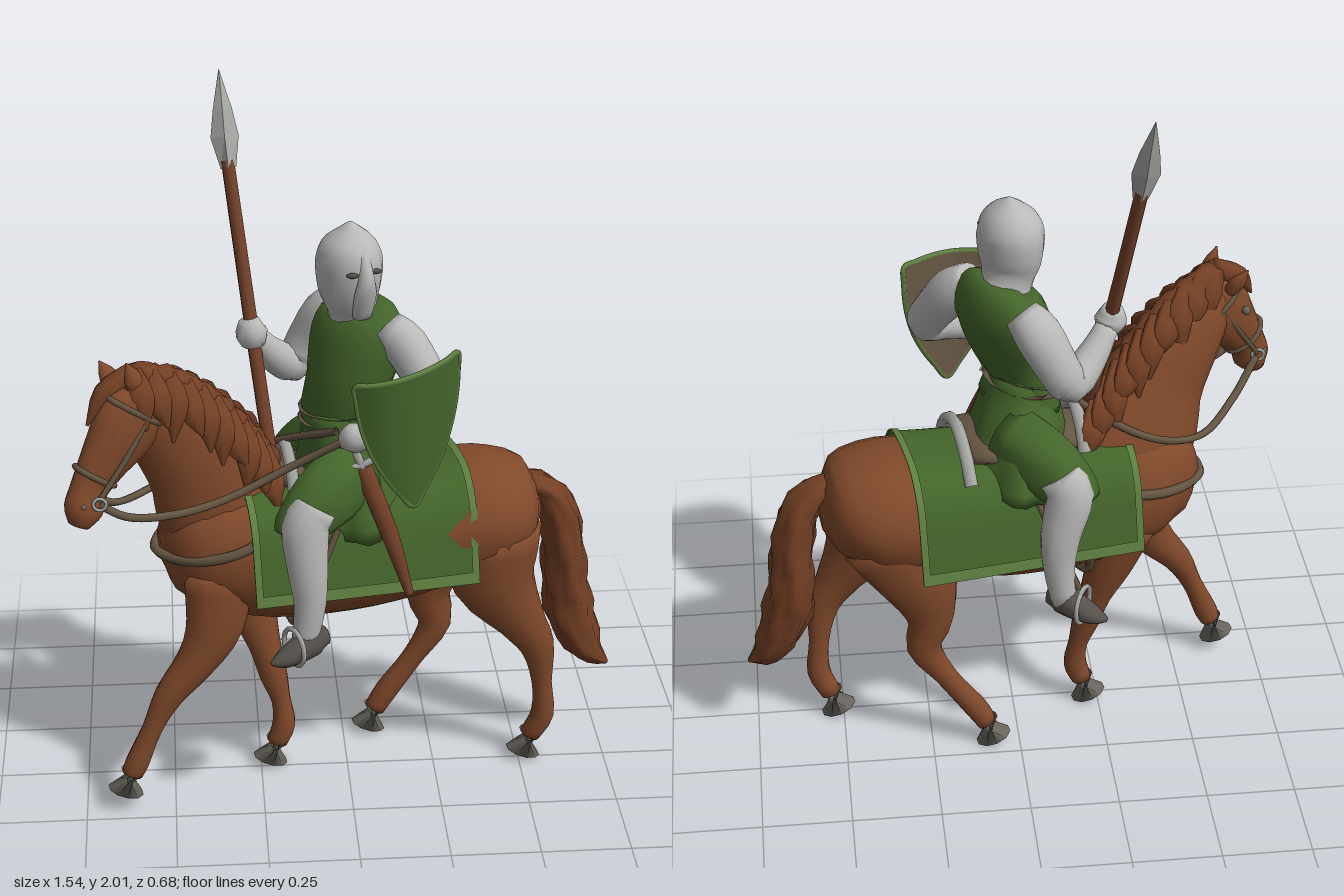
import * as THREE from 'three';

const paint = (name, color, extra = {}) => Object.assign(new THREE.MeshStandardMaterial({ color, ...extra }), { name });
const two = { side: THREE.DoubleSide };
const V = (a) => new THREE.Vector3(...a);

export function createModel() {
  const model = new THREE.Group();
  model.name = 'mountedSpearman';
  const coat = paint('chestnut coat', 0x80492b), hair = paint('mane brown', 0x744025);
  const hoofGrey = paint('hoof grey', 0x6a665f), green = paint('tunic green', 0x44652b, two);
  const trim = paint('pale green trim', 0x5f7f41, two), mail = paint('mail grey', 0xb9b9b8);
  const steel = paint('steel', 0xa6a8a4), wood = paint('wood', 0x74412a);
  const leather = paint('worn leather', 0x665643, two), shoeGrey = paint('shoe grey', 0x55504b);
  const bodySide = [0.17, 0, 0.985];

  const add = (name, geo, mat, parent = model) => {
    const m = new THREE.Mesh(geo, mat);
    m.name = name;
    parent.add(m);
    return m;
  };

  // Skin over elliptical sections [x, y, z, halfDepth, halfWidth]; halfWidth lies along "side"
  function loft(name, mat, secs, { side = bodySide, n = 14, sub = 3, wave = null, flat = false } = {}) {
    const centre = new THREE.CatmullRomCurve3(secs.map((s) => V(s.slice(0, 3))), false, 'catmullrom', 0.5);
    const radii = new THREE.CatmullRomCurve3(secs.map((s) => V([s[3], s[4] ?? s[3], 0])), false, 'catmullrom', 0.5);
    const rows = (secs.length - 1) * sub, pos = [], idx = [];
    for (let i = 0; i <= rows; i++) {
      const c = centre.getPoint(i / rows), r = radii.getPoint(i / rows), t = centre.getTangent(i / rows);
      const n1 = V(side).addScaledVector(t, -V(side).dot(t)).normalize();
      const n2 = new THREE.Vector3().crossVectors(t, n1);
      for (let j = 0; j < n; j++) {
        const a = (j / n) * Math.PI * 2, k = wave ? wave(i / rows, a) : 1;
        const p = c.clone().addScaledVector(n1, Math.cos(a) * r.y * k).addScaledVector(n2, Math.sin(a) * r.x * k);
        pos.push(p.x, p.y, p.z);
        if (i < rows) {
          const q = i * n + j, w = i * n + (j + 1) % n;
          idx.push(q, w, w + n, q, w + n, q + n);
        }
      }
    }
    const base = (rows + 1) * n;
    pos.push(...centre.getPoint(0).toArray(), ...centre.getPoint(1).toArray());
    for (let j = 0; j < n; j++) {
      const k = (j + 1) % n;
      idx.push(base, k, j, base + 1, rows * n + j, rows * n + k);
    }
    let g = new THREE.BufferGeometry();
    g.setAttribute('position', new THREE.Float32BufferAttribute(pos, 3));
    g.setIndex(idx);
    if (flat) g = g.toNonIndexed();
    g.computeVertexNormals();
    return add(name, g, mat);
  }

  // Open surface from a rule (u, v) -> point
  function sheet(name, mat, fn, nu, nv) {
    const g = new THREE.PlaneGeometry(1, 1, nu, nv), p = g.attributes.position, uv = g.attributes.uv;
    for (let i = 0; i < p.count; i++) p.setXYZ(i, ...fn(uv.getX(i), uv.getY(i)));
    g.computeVertexNormals();
    return add(name, g, mat);
  }
  const cord = (name, mat, pts, r = 0.009, closed = false) =>
    add(name, new THREE.TubeGeometry(new THREE.CatmullRomCurve3(pts.map(V), closed), pts.length * 6, r, 6, closed), mat);

  // Horse body, neck and head
  loft('horseBody', coat, [[-.525, .76, .05, .04, .04], [-.48, .76, .045, .14, .11], [-.38, .755, .035, .19, .165],
    [-.2, .72, 0, .212, .185], [0, .705, -.03, .195, .2], [.15, .715, -.05, .18, .2], [.3, .76, -.075, .185, .21],
    [.42, .775, -.085, .165, .203], [.5, .765, -.095, .125, .15], [.545, .76, -.1, .04, .05]], { n: 22 });
  loft('horseNeck', coat, [[-.28, .77, .01, .2, .13], [-.35, .88, .03, .19, .115], [-.41, 1.02, .07, .155, .09],
    [-.49, 1.14, .11, .125, .075], [-.55, 1.21, .15, .1, .062], [-.59, 1.24, .17, .06, .045]], { side: [.3, 0, .95], n: 16 });
  loft('horseHead', coat, [[-.545, 1.285, .155, .04, .035], [-.57, 1.235, .175, .092, .062], [-.61, 1.165, .2, .098, .064],
    [-.66, 1.095, .23, .074, .052], [-.7, 1.03, .255, .056, .042], [-.718, .975, .272, .056, .046],
    [-.732, .935, .28, .03, .032]], { side: [.5, 0, .86] });
  for (const [base, tip] of [[[-.56, 1.27, .2], [-.592, 1.365, .212]], [[-.62, 1.26, .14], [-.665, 1.335, .12]]]) {
    const mid = base.map((b, i) => (b + tip[i]) / 2);
    loft('horseEar', coat, [[...base, .018, .018], [...mid, .026, .017], [...tip, .002, .002]], { side: [.5, 0, .86], n: 8 });
  }
  for (const s of [-1, 1]) {
    const eye = add('horseEye', new THREE.SphereGeometry(0.013, 8, 6), hoofGrey);
    eye.position.set(-.645 + s * .029, 1.185, .207 + s * .049);
    const nostril = add('nostril', new THREE.SphereGeometry(0.009, 8, 6), hoofGrey);
    nostril.position.set(-.733 + s * .018, 1.0, .278 + s * .031);
  }

  // Horse legs, each with its hoof
  const legs = {
    leftForeleg: [[-.36, .7, .13, .1, .06], [-.375, .55, .14, .085, .055], [-.43, .44, .15, .06, .046], [-.51, .34, .165, .042, .037],
      [-.56, .24, .175, .029, .027], [-.603, .14, .18, .034, .031], [-.62, .1, .18, .03, .03]],
    rightForeleg: [[-.31, .66, -.08, .1, .06], [-.27, .5, -.06, .072, .05], [-.235, .38, -.04, .047, .042], [-.21, .28, -.03, .04, .036],
      [-.19, .2, -.025, .028, .027], [-.183, .125, -.02, .034, .031], [-.203, .065, -.02, .03, .03]],
    leftHindLeg: [[.4, .74, .02, .15, .1], [.415, .6, .02, .122, .085], [.495, .46, .02, .07, .052], [.545, .37, .015, .05, .037],
      [.562, .25, .005, .03, .028], [.568, .14, 0, .034, .032], [.535, .065, -.01, .03, .03]],
    rightHindLeg: [[.36, .74, -.18, .14, .09], [.285, .6, -.19, .115, .08], [.25, .46, -.19, .07, .052], [.27, .35, -.19, .05, .037],
      [.21, .24, -.19, .032, .028], [.13, .125, -.19, .034, .032], [.095, .065, -.19, .03, .03]],
  };
  for (const [name, secs] of Object.entries(legs)) {
    loft(name, coat, secs, { n: 12 });
    const [x, y, z] = secs[6];
    loft(name + 'Hoof', hoofGrey, [[x, y + .008, z, .033, .034], [x - .02, y - .055, z, .052, .044]], { n: 10, sub: 1 });
  }

  // Tail with wavy strands
  loft('tail', hair, [[.48, .83, -.09, .035, .04], [.545, .835, -.09, .035, .05], [.6, .77, -.095, .05, .065], [.625, .65, -.1, .058, .075],
    [.635, .52, -.105, .062, .075], [.66, .4, -.1, .064, .062], [.71, .3, -.09, .042, .045], [.765, .255, -.08, .006, .008]],
  { n: 20, wave: (t, a) => 1 + .13 * Math.sin(a * 6 + t * 14) + .06 * Math.sin(t * 45 + a * 2) });

  // Mane: a crest with overlapping locks on each side, and a forelock
  const crest = new THREE.CatmullRomCurve3([[-.58, 1.31, .165], [-.47, 1.265, .105], [-.37, 1.18, .065], [-.285, 1.08, .035], [-.21, .97, .01]].map(V));
  loft('maneCrest', hair, crest.getPoints(7).map((p) => [p.x, p.y, p.z, .038, .036]),
    { n: 10, wave: (t, a) => 1 + .14 * Math.sin(t * 50 + a) });
  for (let i = 0; i < 10; i++) {
    const p = crest.getPoint(i / 10), w = .02 * Math.sin(i * 2.4);
    for (const s of [-1, 1]) {
      const o = s * (.035 + .0055 * i);
      loft('maneLock', hair, [[p.x, p.y + .015, p.z + s * .01, .03, .018], [p.x + .025, p.y - .045, p.z + o + s * .022, .04, .018],
        [p.x + .035 + w, p.y - .13 + w, p.z + o + s * .035, .004, .004]], { n: 6 });
    }
  }
  loft('forelock', hair, [[-.58, 1.32, .17, .03, .03], [-.655, 1.275, .2, .028, .035], [-.7, 1.2, .235, .004, .005]], { n: 8 });

  // Saddle cloth draped over the back, with a pale border
  const drape = new THREE.CatmullRomCurve3([[0, .93, 0], [.11, .92, 0], [.18, .86, 0], [.212, .76, 0], [.238, .65, 0]].map(V));
  const cloth = (u, v, lift = 0) => {
    const p = drape.getPoint(Math.abs(v)), s = Math.sign(v) * (p.x + lift), k = u > 0 ? u / .3 : 0;
    return [.03 + .985 * u + .17 * s, p.y + lift * .6 + .03 * k * k * (1 - Math.abs(v)), -.035 - .17 * u + .985 * s];
  };
  const U0 = -.34, U1 = .29;
  sheet('saddleCloth', green, (u, v) => cloth(U0 + (U1 - U0) * u, v * 2 - 1), 10, 24);
  for (const u of [U0, U1 - .02]) sheet('clothEndTrim', trim, (a, v) => cloth(u + .02 * a, v * 2 - 1, .005), 1, 24);
  for (const s of [-1, 1]) sheet('clothHemTrim', trim, (u, v) => cloth(U0 + (U1 - U0) * u, s * (.93 + .07 * v), .005), 8, 1);

  // Saddle with raised cantle and pommel
  loft('saddleSeat', leather, [[-.2, .94, 0, .03, .08], [-.02, .94, -.03, .04, .13], [.14, .95, -.055, .03, .12]]);
  const arch = (name, u, top, w) => cord(name, steel, [-1, -.6, 0, .6, 1].map((k) =>
    [.03 + u + .17 * k * w, top - .1 * k * k, -.035 - .17 * u + k * w]), .018);
  arch('cantle', .13, 1.0, .16);
  arch('pommel', -.2, 1.02, .11);

  // Bridle, reins and breast strap
  const band = (name, c, depth, width) => {
    const t = V([-.5, -.82, .29]).normalize(), n1 = V([.5, 0, .86]).addScaledVector(t, -V([.5, 0, .86]).dot(t)).normalize();
    const n2 = new THREE.Vector3().crossVectors(t, n1), pts = [];
    for (let a = 0; a < 6.2; a += Math.PI / 5)
      pts.push(V(c).addScaledVector(n1, Math.cos(a) * width).addScaledVector(n2, Math.sin(a) * depth).toArray());
    cord(name, leather, pts, .008, true);
  };
  band('browBand', [-.58, 1.22, .18], .095, .065);
  band('noseBand', [-.685, 1.06, .245], .064, .047);
  for (const s of [-1, 1]) {
    const ox = s * .03, oz = s * .05;
    cord('cheekStrap', leather, [[-.56 + ox, 1.23, .17 + oz], [-.62 + ox, 1.13, .21 + oz], [-.7 + ox * .8, 1.01, .26 + oz * .85]], .008);
    const bit = add('bitRing', new THREE.TorusGeometry(.017, .005, 6, 14), steel);
    bit.position.set(-.7 + ox * .9, 1.005, .26 + oz * .95);
  }
  cord('leftRein', leather, [[-.675, 1.0, .3], [-.6, .955, .285], [-.47, .935, .235], [-.34, .95, .185], [-.17, 1.02, .15], [0, 1.12, .18]], .011);
  cord('rightRein', leather, [[-.72, 1.0, .21], [-.64, .92, .12], [-.52, .9, -.03], [-.38, .94, -.09], [-.2, 1.02, -.03], [-.04, 1.12, .14]], .011);
  cord('breastStrap', leather, [[-.2, .84, .18], [-.32, .79, .205], [-.43, .76, .175], [-.52, .75, .1], [-.535, .75, .02], [-.47, .77, -.085],
    [-.36, .79, -.145], [-.2, .84, -.175]], .014);
  cord('girth', leather, [[-.13, .66, .19], [-.15, .55, .14], [-.17, .498, -.01], [-.2, .55, -.14], [-.2, .66, -.2]], .012);

  // Rider's tunic, skirt and belt
  const chest = [.59, 0, .8];
  loft('tunic', green, [[-.02, 1.05, 0, .1, .13], [-.03, 1.13, 0, .085, .112], [0, 1.22, 0, .1, .13], [.03, 1.33, -.02, .105, .152],
    [.045, 1.4, -.03, .078, .13], [.04, 1.435, -.03, .035, .06]], { side: chest, n: 18 });
  const folds = (t, a) => 1 + .08 * (1 - t) * Math.sin(a * 7 + 1);
  loft('tunicSkirt', green, [[.0, .83, -.03, .15, .235], [-.01, .93, -.02, .135, .195], [-.02, 1.05, 0, .105, .135], [-.03, 1.14, 0, .08, .1]],
    { n: 28, wave: folds });
  loft('belt', leather, [[-.027, 1.105, 0, .099, .126], [-.03, 1.135, 0, .094, .122]], { side: chest, n: 18, sub: 1 });

  // Rider's legs, shoes and stirrups
  for (const s of [-1, 1]) {
    const z = (d) => -.01 + s * d, g = s > 0 ? 0 : .02;
    loft('thighDrape', green, [[.02, .98, z(.08), .1, .08], [-.06, .95, z(.17), .095, .075], [-.13, .89, z(.215), .075, .06], [-.155, .84, z(.23), .06, .045]],
      { side: [0, 0, 1], n: 16, wave: (t, a) => 1 + .06 * Math.sin(a * 5) });
    loft('shin', mail, [[-.1, .93, z(.22), .062, .055], [-.13, .88, z(.24), .066, .055], [-.125 + g, .76, z(.255), .056, .048],
      [-.12 + g, .66, z(.26), .045, .04], [-.135 + g, .54, z(.26), .036, .034]], { side: [0, 0, 1] });
    loft('shoe', shoeGrey, [[-.075, .545, z(.235), .025, .025], [-.105, .545, z(.25), .045, .036], [-.15, .53, z(.28), .038, .038],
      [-.195, .515, z(.305), .025, .03], [-.228, .51, z(.322), .006, .008]], { side: [.45 * s, 0, .9], n: 12 });
    const stirrup = add('stirrup', new THREE.TorusGeometry(.052, .007, 6, 20), steel);
    stirrup.position.set(-.165, .54, z(.285));
    stirrup.rotation.y = Math.PI / 2 + s * .5;
    cord('stirrupLeather', leather, [[-.04, .86, z(.215)], [-.09, .74, z(.24)], [-.155, .585, z(.27)]], .01);
  }

  // Mail hood with a ridged face
  const face = [.9, 0, -.4];
  loft('mailHood', mail, [[.03, 1.37, -.025, .075, .085], [.015, 1.425, -.012, .07, .07], [.005, 1.48, 0, .092, .082], [.005, 1.56, 0, .1, .088],
    [.008, 1.615, -.002, .075, .066], [.008, 1.662, -.004, .006, .006]], { side: face, n: 14 });
  loft('faceRidge', mail, [[.035, 1.42, .06, .02, .03], [.042, 1.49, .085, .022, .034], [.043, 1.54, .09, .024, .022], [.035, 1.6, .065, .014, .016]],
    { side: face, n: 8 });
  for (const s of [-1, 1]) {
    const slit = add('eyeSlit', new THREE.SphereGeometry(.013, 8, 6), shoeGrey);
    slit.scale.set(1.3, .6, .6);
    slit.position.set(.038 + s * .032, 1.55, .09 - s * .015);
  }

  // Arms and hands
  loft('rightArm', mail, [[-.01, 1.385, -.135, .05, .05], [-.05, 1.34, -.17, .066, .062], [-.1, 1.25, -.19, .06, .055], [-.14, 1.19, -.18, .055, .052],
    [-.2, 1.24, -.13, .045, .043], [-.245, 1.305, -.09, .032, .032]], { side: [.6, 0, .8] });
  loft('rightHand', mail, [[-.24, 1.29, -.09, .03, .03], [-.255, 1.32, -.08, .045, .042], [-.262, 1.36, -.085, .028, .028]], { n: 10 });
  loft('leftArm', mail, [[.1, 1.385, .06, .05, .05], [.15, 1.34, .09, .064, .06], [.205, 1.25, .14, .058, .055], [.22, 1.19, .175, .054, .05],
    [.14, 1.16, .215, .045, .042], [.03, 1.14, .22, .034, .032]], { side: [.8, 0, -.6] });
  loft('leftHand', mail, [[.04, 1.14, .22, .03, .03], [.0, 1.13, .21, .042, .038], [-.03, 1.12, .2, .022, .022]], { side: [0, 0, 1], n: 10 });

  // Spear
  loft('spearShaft', wood, [[-.205, .94, .02, .019], [-.258, 1.36, -.095, .019], [-.308, 1.77, -.213, .018]], { n: 10, sub: 1 });
  loft('spearHead', steel, [[-.306, 1.75, -.207, .021, .02], [-.314, 1.83, -.232, .038, .02], [-.318, 1.9, -.253, .026, .015], [-.325, 2.0, -.288, .001, .001]],
    { side: [0, 0, 1], n: 4, sub: 1, flat: true });

  // Curved shield with a pale rim
  const shield = (u, v, back = 0) => {
    const w = 1 - Math.pow(v, 2.3), k = u * w;
    return [.14 + .02 * v + .14 * k - back * .3, (1.34 + .02 * u) * (1 - v) + .955 * v, .312 - .06 * k - .055 * k * k - .035 * v - back];
  };
  sheet('shieldFront', green, (u, v) => shield(u * 2 - 1, 1 - v), 12, 14);
  sheet('shieldBack', leather, (u, v) => shield(u * 2 - 1, 1 - v, .014), 12, 14);
  const edge = [];
  for (let i = 0; i <= 8; i++) edge.push(shield(-1 + i / 4, 0, .007));
  for (let i = 1; i <= 8; i++) edge.push(shield(1, i / 8, .007));
  for (let i = 7; i > 0; i--) edge.push(shield(-1, i / 8, .007));
  cord('shieldRim', trim, edge, .008, true);

  // Sword in its scabbard
  loft('scabbard', wood, [[.03, 1.02, .16, .026, .016], [.1, .84, .2, .024, .015], [.155, .66, .215, .012, .01]], { side: [0, 0, 1], n: 8 });
  cord('swordGrip', steel, [[.03, 1.02, .16], [.01, 1.07, .155], [0, 1.1, .15]], .013);
  cord('swordGuard', steel, [[-.025, 1.015, .165], [.03, 1.03, .162], [.075, 1.05, .158]], .01);
  add('swordPommel', new THREE.SphereGeometry(.022, 10, 8), steel).position.set(-.002, 1.105, .15);
  return model;
}
